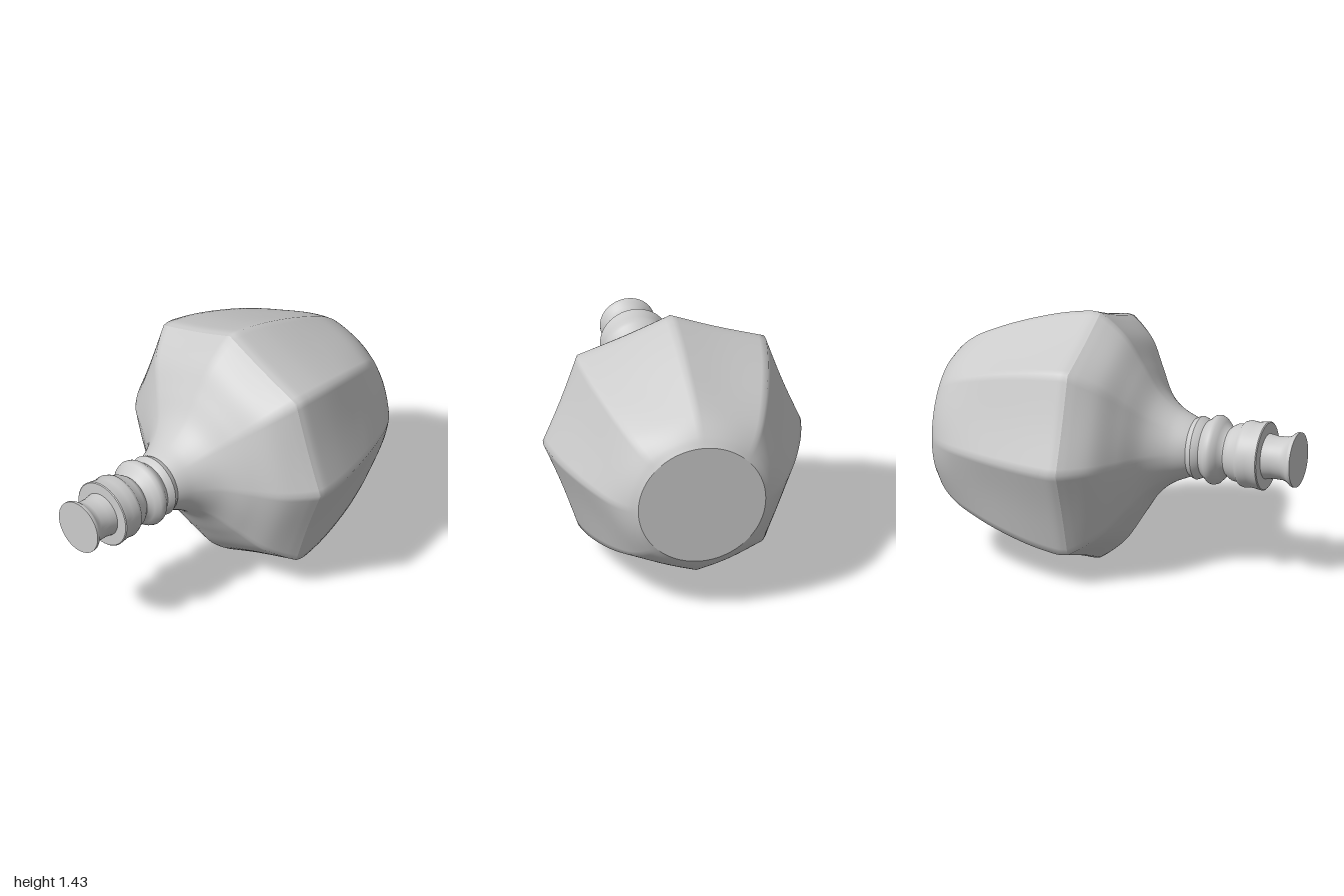
import * as THREE from 'three';
import { toCreasedNormals } from 'three/addons/utils/BufferGeometryUtils.js';

const CENTRE_Y = 0.715;
const SIDES = 8, PER_SIDE = 16, SEGMENTS = SIDES * PER_SIDE;

// Radius factor of the eight-pointed section with slightly hollow sides
function octagon(j) {
  const t = (j % PER_SIDE) / PER_SIDE;
  const side = Math.floor(j / PER_SIDE) % SIDES;
  const size = [1, 1.035];
  const r0 = size[side % 2], r1 = size[(side + 1) % 2];
  const step = (2 * Math.PI) / SIDES, a = t * step;
  const chord = (r0 * r1 * Math.sin(step)) / (r0 * Math.sin(a) + r1 * Math.sin(step - a));
  return chord - 0.01 * Math.sin(Math.PI * t);
}

// Skin through stations [z, radius, how octagonal (0 = round)]
function shell(stations, rows) {
  const curve = new THREE.CatmullRomCurve3(
    stations.map((s) => new THREE.Vector3(...s)), false, 'centripetal');
  const position = [], index = [];
  for (let i = 0; i <= rows; i++) {
    const { x: z, y: r, z: w } = curve.getPoint(i / rows);
    for (let j = 0; j < SEGMENTS; j++) {
      const a = (j / SEGMENTS) * Math.PI * 2;
      const radius = r * THREE.MathUtils.lerp(1, octagon(j), THREE.MathUtils.clamp(w, 0, 1));
      position.push(radius * Math.cos(a), radius * Math.sin(a), z);
      if (i === rows) continue;
      const k = (j + 1) % SEGMENTS;
      const p = i * SEGMENTS + j, q = i * SEGMENTS + k;
      index.push(p, q, p + SEGMENTS, q, q + SEGMENTS, p + SEGMENTS);
    }
  }
  const geometry = new THREE.BufferGeometry();
  geometry.setAttribute('position', new THREE.Float32BufferAttribute(position, 3));
  geometry.setIndex(index);
  geometry.computeVertexNormals();
  return geometry;
}

export function createModel() {
  const group = new THREE.Group();
  const material = new THREE.MeshStandardMaterial({ color: 0xcccccc });
  const add = (name, geometry) => {
    const mesh = new THREE.Mesh(geometry, material);
    mesh.name = name;
    mesh.position.y = CENTRE_Y;
    group.add(mesh);
    return mesh;
  };

  // Rear of the bulb, tapering from the octagonal rim to a round flat end
  add('bulbBack', shell([
    [-1, 0.355, 0], [-0.96, 0.41, 0.25], [-0.9, 0.465, 0.5], [-0.8, 0.525, 0.8],
    [-0.6, 0.61, 1], [-0.4, 0.675, 1], [-0.25, 0.708, 1], [-0.19, 0.715, 1], [-0.15, 0.71, 1],
  ], 48));

  // Front of the bulb, flaring out from the round neck
  add('bulbFront', shell([
    [-0.15, 0.71, 1], [-0.1, 0.675, 0.95], [0, 0.585, 0.75], [0.1, 0.435, 0.45],
    [0.2, 0.285, 0.2], [0.3, 0.205, 0.05], [0.4, 0.16, 0],
  ], 40));

  // Flat end at the back
  const end = add('backEnd', new THREE.CircleGeometry(0.355, SEGMENTS));
  end.rotation.y = Math.PI;
  end.position.z = -1;

  // Turned stem with its rings, collar and flared tip
  const profile = [
    [0.155, 0.39], [0.168, 0.41], [0.175, 0.43], [0.165, 0.455], [0.155, 0.47],
    [0.17, 0.49], [0.188, 0.51], [0.192, 0.53], [0.185, 0.55], [0.16, 0.575],
    [0.135, 0.595], [0.132, 0.605], [0.145, 0.62], [0.157, 0.64], [0.162, 0.675],
    [0.178, 0.69], [0.185, 0.71], [0.18, 0.75], [0.186, 0.79], [0.19, 0.815],
    [0.185, 0.82], [0.125, 0.822], [0.118, 0.87], [0.12, 0.93], [0.128, 0.955],
    [0.145, 0.975], [0.152, 0.985], [0.152, 1], [0, 1],
  ].map(([r, z]) => new THREE.Vector2(r, z));
  const stem = new THREE.LatheGeometry(profile, 64).rotateX(Math.PI / 2);
  add('stem', toCreasedNormals(stem, 0.7));

  return group;
}

function noop() {}
